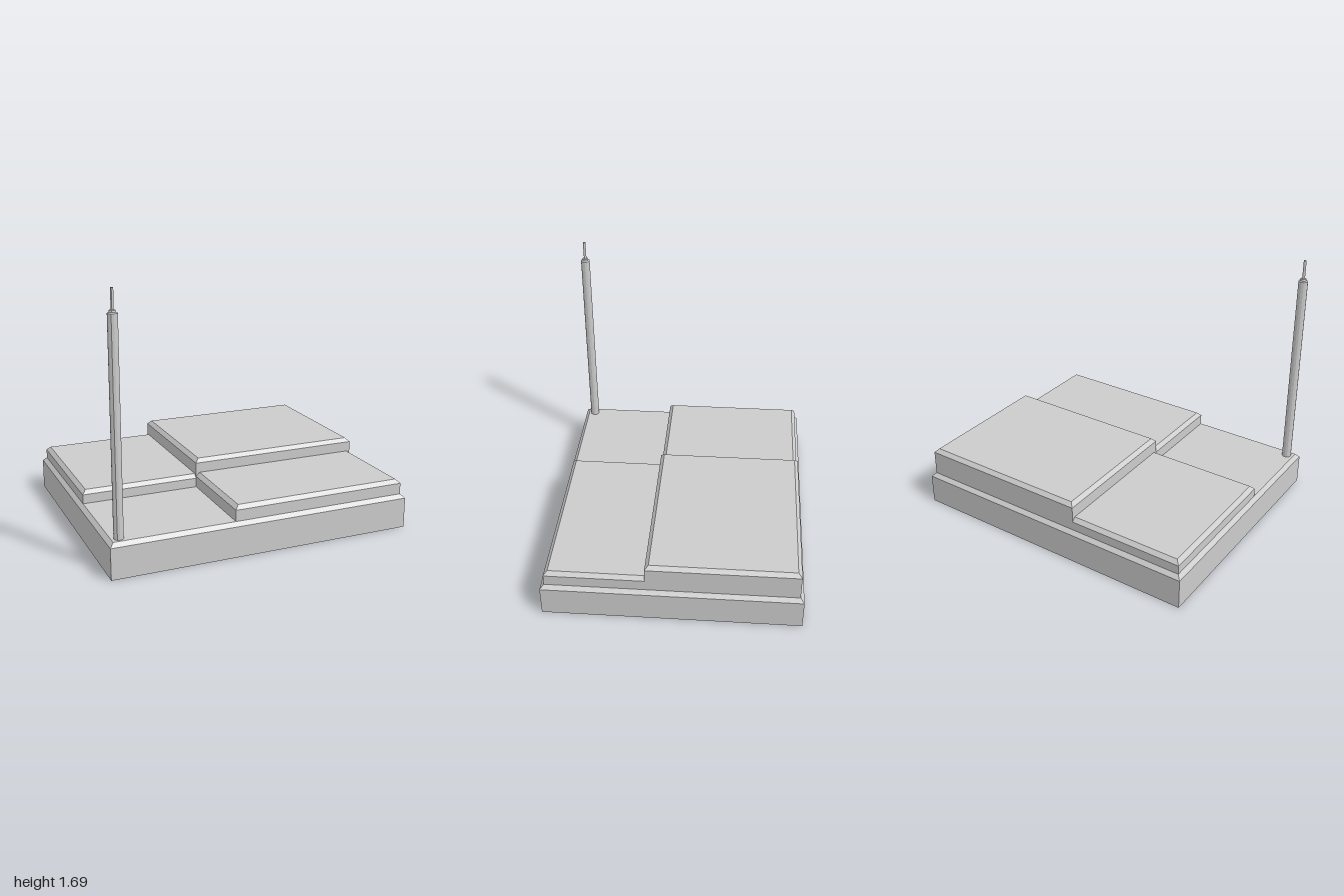
import * as THREE from 'three';

const BEVEL = 0.025;

// Box with straight sides and a chamfer around its top edge
function chamferedBlock(name, material, x0, x1, z0, z1, y0, y1) {
  const w = x1 - x0, d = z1 - z0;
  const box = new THREE.BoxGeometry(w, 2, d, 1, 2, 1);
  const p = box.attributes.position;
  for (let i = 0; i < p.count; i++) {
    const level = Math.round(p.getY(i));
    if (level === 1) {
      p.setX(i, p.getX(i) - Math.sign(p.getX(i)) * BEVEL);
      p.setZ(i, p.getZ(i) - Math.sign(p.getZ(i)) * BEVEL);
    }
    p.setY(i, level === 1 ? y1 : level === 0 ? y1 - BEVEL : y0);
  }
  const geometry = box.toNonIndexed();
  geometry.computeVertexNormals();
  const mesh = new THREE.Mesh(geometry, material);
  mesh.position.set((x0 + x1) / 2, 0, (z0 + z1) / 2);
  mesh.name = name;
  return mesh;
}

export function createModel() {
  const model = new THREE.Group();
  model.name = 'steppedBuilding';
  const material = new THREE.MeshStandardMaterial({ color: 0xcccccc, flatShading: true });

  // Base and three roof blocks; hidden edges run on inside the tallest block
  model.add(
    chamferedBlock('base', material, -1, 1, -0.835, 0.835, 0, 0.225),
    chamferedBlock('tallBlock', material, -0.2, 0.975, -0.81, 0.168, 0.2, 0.415),
    chamferedBlock('frontBlock', material, -0.2, 0.975, 0.1, 0.81, 0.2, 0.323),
    chamferedBlock('sideBlock', material, -0.975, -0.15, -0.81, 0.168, 0.2, 0.31),
  );

  // Chimney: a faceted shaft, a stepped cap and a thin rod
  const profile = [
    [0, 0.2], [0.031, 0.2], [0.031, 1.55], [0.021, 1.555], [0.019, 1.567],
    [0.009, 1.567], [0.009, 1.69], [0, 1.69],
  ].map(([r, y]) => new THREE.Vector2(r, y));
  const chimney = new THREE.Mesh(new THREE.LatheGeometry(profile, 12), material);
  chimney.name = 'chimney';
  chimney.position.set(-0.928, 0, 0.765);
  model.add(chimney);

  return model;
}
